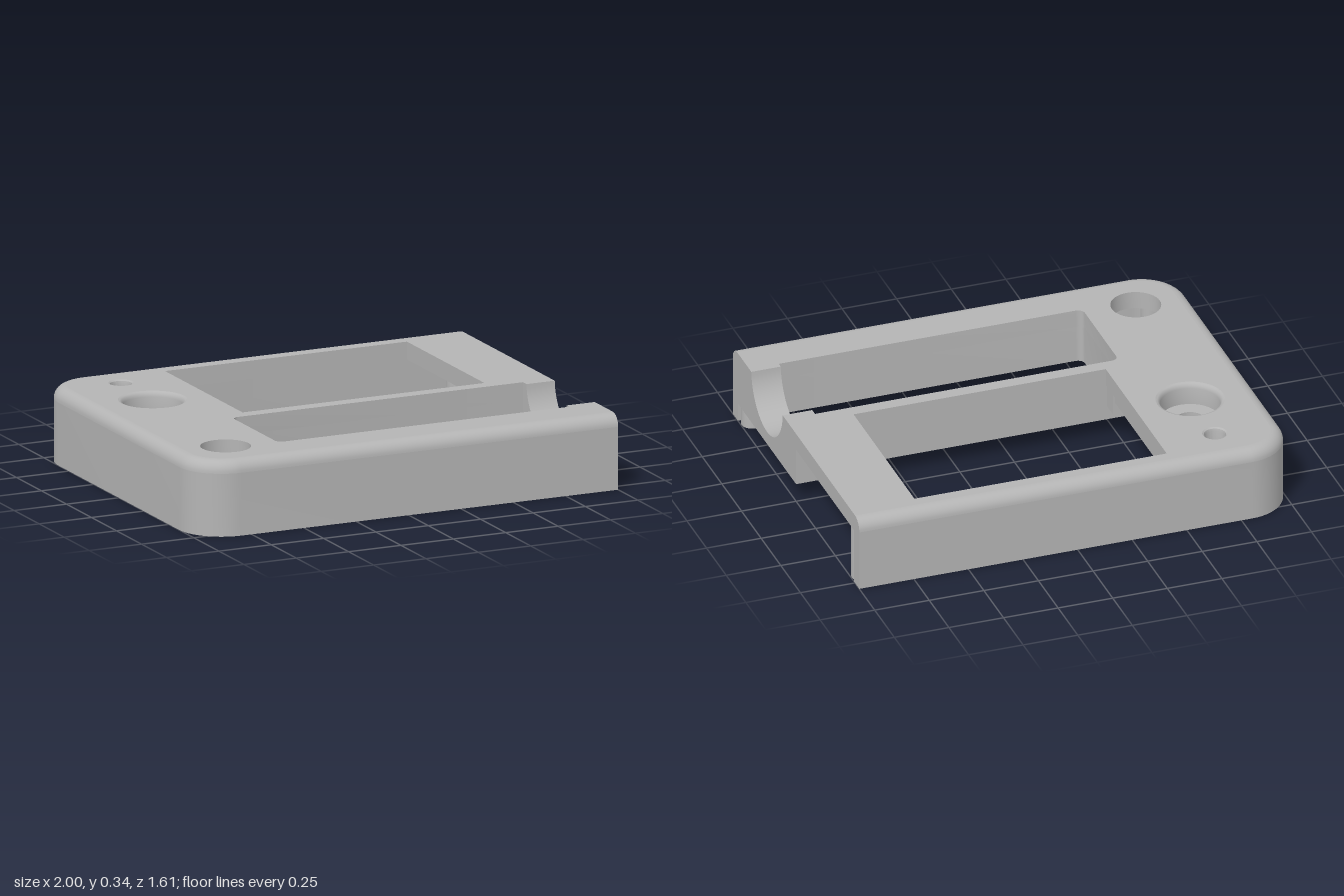
import * as THREE from 'three';
import { toCreasedNormals } from 'three/addons/utils/BufferGeometryUtils.js';

const H = 0.335, D = 0.805, R = 0.2, FILLET = 0.055, WALL = 0.065;

// U-shaped case outline as [x, z], rounded at the two -x corners, open at +x
function outline(inset, end = 1) {
  const pts = [[end, -(D - inset)]], n = 14, r = R - inset;
  for (const s of [-1, 1]) {
    for (let i = 0; i <= n; i++) {
      const t = (s < 0 ? i : n - i) / n * Math.PI / 2;
      pts.push([-1 + R - r * Math.sin(t), s * (D - R + r * Math.cos(t))]);
    }
  }
  pts.push([end, D - inset]);
  return pts;
}

const rect = (x0, x1, z0, z1) => [[x0, z0], [x1, z0], [x1, z1], [x0, z1]];

function circle(x, z, r, n = 40) {
  return Array.from({ length: n }, (_, i) => {
    const a = i / n * Math.PI * 2;
    return [x + r * Math.cos(a), z + r * Math.sin(a)];
  });
}

function toShape(pts, holes = []) {
  const v = (list) => list.map(([a, b]) => new THREE.Vector2(a, -b));
  const shape = new THREE.Shape(v(pts));
  shape.holes = holes.map((h) => new THREE.Path(v(h)));
  return shape;
}

// Upright slab from a plan drawn in x, z
function slab(pts, y0, y1, holes) {
  const g = new THREE.ExtrudeGeometry(toShape(pts, holes), { depth: y1 - y0, bevelEnabled: false });
  return toCreasedNormals(g.rotateX(-Math.PI / 2).translate(0, y0, 0), 0.5);
}

// Slab along x from a section drawn in z, y
function sectionX(pts, x0, x1) {
  const shape = new THREE.Shape(pts.map(([z, y]) => new THREE.Vector2(-z, y)));
  const g = new THREE.ExtrudeGeometry(shape, { depth: x1 - x0, bevelEnabled: false });
  return toCreasedNormals(g.rotateY(Math.PI / 2).translate(x0, 0, 0), 0.5);
}

function lathe(profile, x, z) {
  const g = new THREE.LatheGeometry(profile.map(([r, y]) => new THREE.Vector2(r, y)), 48);
  return toCreasedNormals(g.translate(x, 0, z), 0.6);
}

// Rounded top edge, lofted between shrinking outlines
function filletGeometry() {
  const steps = 8, pos = [], index = [];
  let n = 0;
  for (let k = 0; k <= steps; k++) {
    const a = k / steps * Math.PI / 2;
    const ring = outline(FILLET * (1 - Math.cos(a)));
    n = ring.length;
    for (const [x, z] of ring) pos.push(x, H - FILLET + FILLET * Math.sin(a), z);
  }
  for (let k = 0; k < steps; k++) {
    for (let j = 0; j < n - 1; j++) {
      const a = k * n + j, b = a + 1, c = a + n, d = c + 1;
      index.push(a, b, c, b, d, c);
    }
  }
  const g = new THREE.BufferGeometry();
  g.setAttribute('position', new THREE.Float32BufferAttribute(pos, 3));
  g.setIndex(index);
  g.computeVertexNormals();
  return g;
}

export function createModel() {
  const group = new THREE.Group();
  const grey = new THREE.MeshStandardMaterial({ color: 0xb4b4b4 });
  grey.name = 'plasticGrey';
  const add = (name, geometry) => {
    const mesh = new THREE.Mesh(geometry, grey);
    mesh.name = name;
    group.add(mesh);
  };

  const button = circle(-0.755, 0.555, 0.11);
  const dial = circle(-0.7, -0.29, 0.15, 48);
  const pinHole = circle(-0.7, -0.605, 0.055, 48);

  // Outer walls and rounded rim
  add('sideWalls', slab([...outline(0), ...outline(WALL).reverse()], 0, H - FILLET));
  add('roundedRim', filletGeometry());
  for (const s of [-1, 1]) {
    const pie = [[s * (D - FILLET), H - FILLET]];
    for (let i = 0; i <= 8; i++) {
      const a = i / 8 * Math.PI / 2;
      pie.push([s * (D - FILLET + FILLET * Math.cos(a)), H - FILLET + FILLET * Math.sin(a)]);
    }
    add('rimEnd', sectionX(pie, 0.99, 1));
  }

  // Long slot, rounded at its -x corners
  const slotEnd = [];
  for (const s of [1, -1]) {
    for (let i = 0; i <= 5; i++) {
      const t = (s > 0 ? i : 5 - i) / 5 * Math.PI / 2;
      slotEnd.push([-0.495 - 0.03 * Math.sin(t), 0.365 + s * (0.2 + 0.03 * Math.cos(t))]);
    }
  }
  const slot = [[0.865, 0.595], ...slotEnd, [0.865, 0.135]];

  // Top plate with window, slot and round openings
  add('topPlate', slab(
    [...outline(FILLET), [1, 0.57], [0.865, 0.57], ...slot, [0.865, 0.17], [1, 0.17]],
    0.255, H, [rect(-0.445, 0.71, -0.7, 0.075), button, dial, pinHole]));

  // Thicker ceiling at the control end, notched beside the window
  const inner = outline(WALL, -0.56).reverse();
  add('controlCeiling', slab(
    [...inner, [-0.46, -0.74], [-0.46, -0.64], [-0.53, -0.64], [-0.53, -0.55], [-0.46, -0.55],
      [-0.46, 0.075], [-0.56, 0.075]],
    0.205, 0.255, [button, dial, pinHole]));

  // Deep surround of the slot
  add('slotSurround', slab(
    [[0.865, 0.745], [-0.585, 0.745], [-0.585, 0.075], [0.865, 0.075], ...slot.slice().reverse()],
    0.085, 0.26));

  // End block with a half-round cradle
  const cradle = [[0.075, 0.085], [0.745, 0.085], [0.745, H]];
  const a0 = Math.asin(0.01 / 0.2);
  for (let i = 0; i <= 28; i++) {
    const a = -a0 - (Math.PI - 2 * a0) * i / 28;
    cradle.push([0.37 + 0.2 * Math.cos(a), 0.345 + 0.2 * Math.sin(a)]);
  }
  cradle.push([0.075, H]);
  add('cradleBlock', sectionX(cradle, 0.865, 1));
  add('endStub', slab(rect(0.9, 1, 0, 0.08), 0.085, 0.26));
  add('innerStub', slab(rect(-0.53, -0.45, 0, 0.08), 0.15, 0.26));

  // Dial recess, its square-holed seat, and the pin hole
  add('dialRecess', lathe([[0.15, H], [0.141, 0.332], [0.134, 0.325], [0.13, 0.312], [0.13, 0.235],
    [0.06, 0.235], [0.06, 0.205], [0.15, 0.205]], -0.7, -0.29));
  add('dialSeat', slab(dial, 0.175, 0.206, [rect(-0.78, -0.62, -0.37, -0.21)]));
  add('pinHole', lathe([[0.055, H], [0.048, 0.33], [0.045, 0.318], [0.045, 0.205], [0.055, 0.205]], -0.7, -0.605));

  // Screw posts
  for (const [x, z] of [[0.95, 0.7], [0.95, -0.7], [-0.87, 0.675], [-0.87, -0.675], [-0.9, 0]]) {
    add('screwPost', slab(circle(x, z, 0.048, 24), 0, 0.26, [circle(x, z, 0.02, 16)]));
  }
  return group;
}
